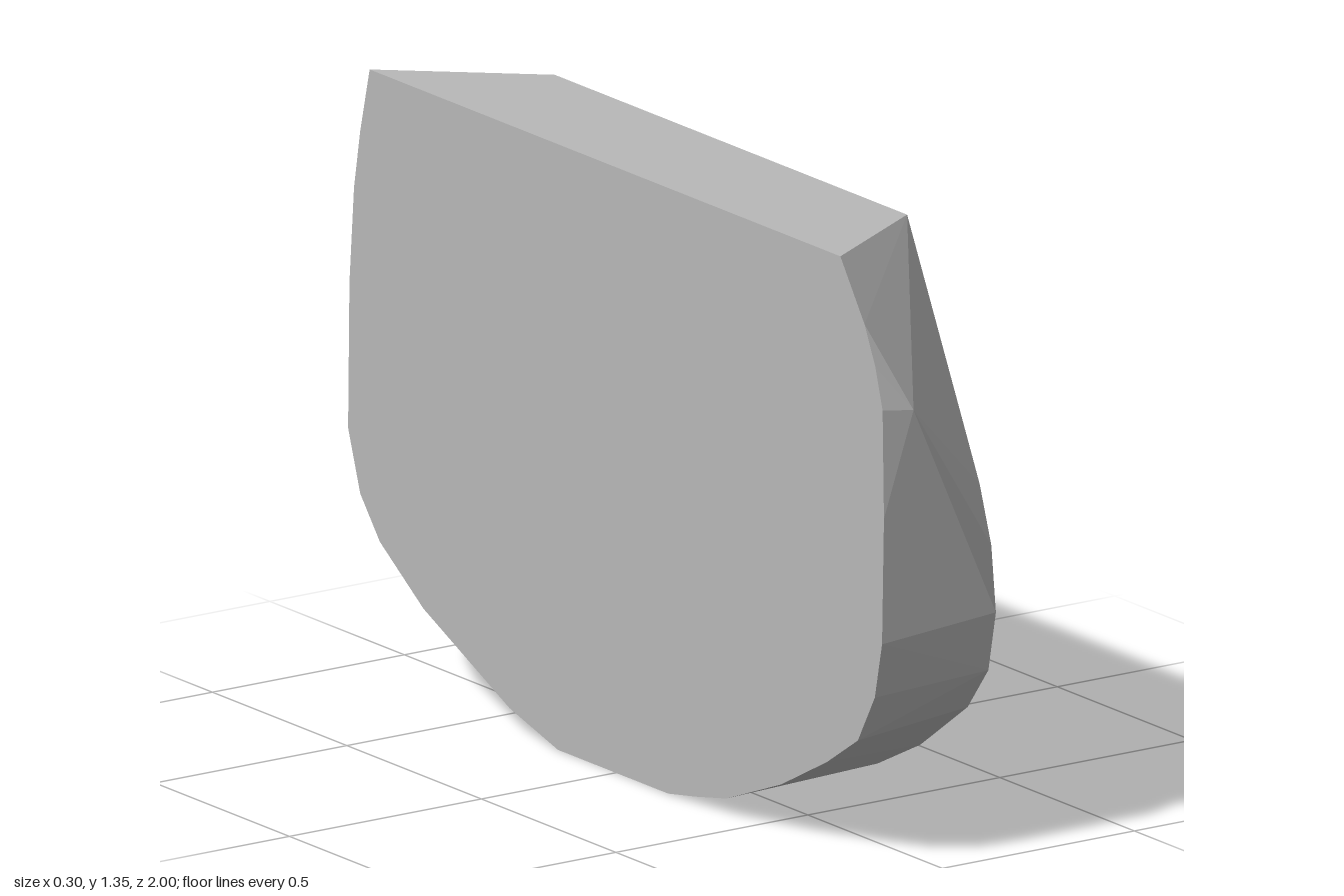
import * as THREE from 'three';
import { ConvexGeometry } from 'three/addons/geometries/ConvexGeometry.js';

export function createModel() {
  const model = new THREE.Group();
  model.name = 'taperedSlab';
  const grey = new THREE.MeshStandardMaterial({ color: 0xb8b8b8 });
  grey.name = 'stone grey';

  // Outline of the narrow left face as [z, y]
  const leftFace = [
    [0.655, 1.345], [0.88, 0.9], [0.925, 0.81], [0.968, 0.685], [0.985, 0.54],
    [0.957, 0.405], [0.88, 0.305], [0.705, 0.18], [0.545, 0.1], [0.4, 0.06],
    [0.29, 0.035], [0.17, 0.023], [-0.07, 0.023], [-0.235, 0.033], [-0.42, 0.08],
    [-0.54, 0.125], [-0.69, 0.2], [-0.88, 0.32], [-0.94, 0.4], [-1, 0.545],
    [-0.985, 0.695], [-0.81, 1.12], [-0.655, 1.345],
  ];
  // Outline of the wider right face as [z, y]
  const rightFace = [
    [0.835, 1.345], [0.925, 1.215], [0.965, 1.13], [0.992, 1.04], [0.997, 0.8],
    [0.99, 0.52], [0.963, 0.395], [0.9, 0.285], [0.785, 0.21], [0.615, 0.12],
    [0.41, 0.04], [0.3, 0.018], [0.195, 0], [-0.215, 0], [-0.395, 0.05],
    [-0.715, 0.195], [-0.877, 0.305], [-0.95, 0.395], [-0.995, 0.53],
    [-0.99, 0.855], [-0.973, 1.07], [-0.95, 1.2], [-0.915, 1.345],
  ];

  // Faceted skin spanning both outlines, with one raised corner on the front
  const at = (x) => ([z, y]) => new THREE.Vector3(x, y, z);
  const points = [
    ...leftFace.map(at(0.15)),
    ...rightFace.map(at(-0.15)),
    new THREE.Vector3(-0.075, 1.03, 1),
  ];
  const slab = new THREE.Mesh(new ConvexGeometry(points), grey);
  slab.name = 'slab';
  model.add(slab);
  return model;
}
